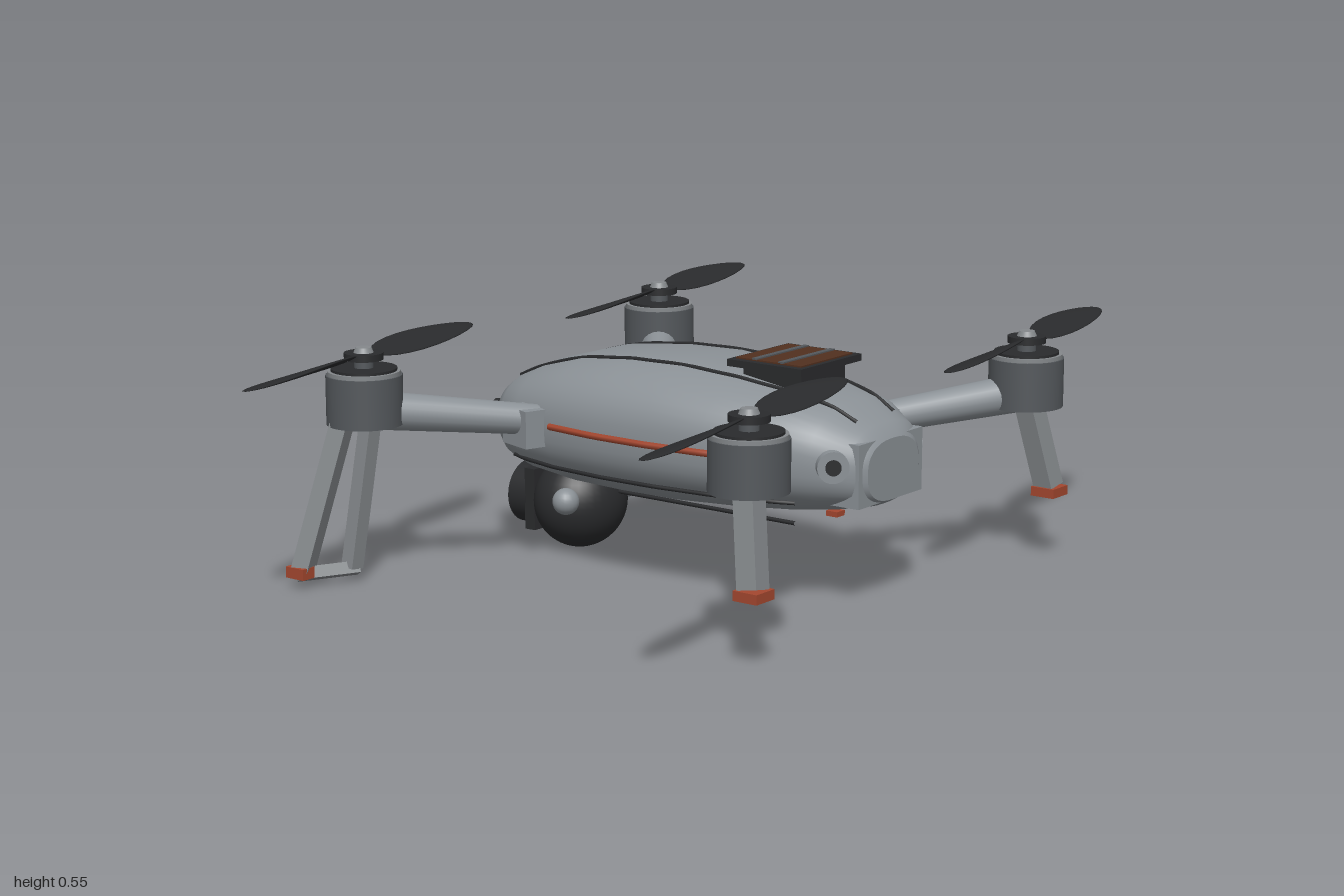
import * as THREE from 'three';

const mat = (name, color) => {
  const m = new THREE.MeshStandardMaterial({ color });
  m.name = name;
  return m;
};

// Hull stations, front to back: z, half width, top y, bottom y
const STATIONS = [
  [0.55, 0.1, 0.39, 0.25], [0.525, 0.14, 0.422, 0.236], [0.45, 0.185, 0.462, 0.22],
  [0.35, 0.22, 0.487, 0.207], [0.2, 0.25, 0.508, 0.195], [0.05, 0.262, 0.52, 0.187],
  [-0.1, 0.262, 0.516, 0.186], [-0.25, 0.245, 0.5, 0.188], [-0.38, 0.208, 0.463, 0.198],
  [-0.46, 0.163, 0.43, 0.213], [-0.51, 0.115, 0.4, 0.232], [-0.535, 0.06, 0.36, 0.27],
];
const POWER = 2.5;

// Interpolated hull section at z
function section(z) {
  let i = 0;
  while (i < STATIONS.length - 2 && STATIONS[i + 1][0] > z) i++;
  const a = STATIONS[i], b = STATIONS[i + 1];
  const t = THREE.MathUtils.clamp((a[0] - z) / (a[0] - b[0]), 0, 1);
  const [w, top, bottom] = [1, 2, 3].map((k) => a[k] + (b[k] - a[k]) * t);
  return { w, cy: (top + bottom) / 2, h: (top - bottom) / 2 };
}
const other = (u) => Math.pow(Math.max(0, 1 - Math.pow(Math.min(1, Math.abs(u)), POWER)), 1 / POWER);
const topY = (x, z) => { const s = section(z); return s.cy + s.h * other(x / s.w); };
const sideX = (y, z) => { const s = section(z); return s.w * other((y - s.cy) / s.h); };

function hullGeometry() {
  const N = 48, pos = [], idx = [];
  const ring = (z) => {
    const s = section(z);
    for (let j = 0; j < N; j++) {
      const a = (j / N) * Math.PI * 2, c = Math.cos(a), d = Math.sin(a);
      pos.push(s.w * Math.sign(c) * Math.pow(Math.abs(c), 2 / POWER),
        s.cy + s.h * Math.sign(d) * Math.pow(Math.abs(d), 2 / POWER), z);
    }
  };
  STATIONS.forEach((s) => ring(s[0]));
  for (let i = 0; i < STATIONS.length - 1; i++) {
    for (let j = 0; j < N; j++) {
      const a = i * N + j, b = i * N + (j + 1) % N;
      idx.push(a, a + N, b, b, a + N, b + N);
    }
  }
  // End caps with their own vertices so the rims stay sharp
  [STATIONS[0], STATIONS[STATIONS.length - 1]].forEach((s, end) => {
    const start = pos.length / 3;
    ring(s[0]);
    pos.push(0, section(s[0]).cy, s[0]);
    for (let j = 0; j < N; j++) {
      const a = start + j, b = start + (j + 1) % N;
      idx.push(start + N, end ? b : a, end ? a : b);
    }
  });
  const g = new THREE.BufferGeometry();
  g.setAttribute('position', new THREE.Float32BufferAttribute(pos, 3));
  g.setIndex(idx);
  g.computeVertexNormals();
  return g;
}

// Leaf-shaped blade along +x, twisted from root to tip
function bladeGeometry() {
  const g = new THREE.SphereGeometry(1, 24, 14);
  const p = g.attributes.position;
  for (let i = 0; i < p.count; i++) {
    const u = p.getX(i), y = p.getY(i) * 0.006, z = p.getZ(i) * 0.043;
    const a = 0.32 - 0.18 * u;
    p.setXYZ(i, 0.247 + 0.214 * u, y * Math.cos(a) - z * Math.sin(a), y * Math.sin(a) + z * Math.cos(a));
  }
  g.computeVertexNormals();
  return g;
}

export function createModel() {
  const shell = mat('shell grey', 0x8b9196), frame = mat('leg grey', 0x85898c);
  const motorGrey = mat('motor grey', 0x54585c), black = mat('black', 0x2a2b2d);
  const red = mat('rust red', 0xa4472f), brown = mat('panel brown', 0x52301f);
  const model = new THREE.Group();

  const add = (name, geo, material, p = [0, 0, 0], parent = model) => {
    const m = new THREE.Mesh(geo, material);
    m.name = name;
    m.position.set(...p);
    parent.add(m);
    return m;
  };
  const box = (name, size, material, p, parent) => add(name, new THREE.BoxGeometry(...size), material, p, parent);
  const disc = (name, r, h, material, p, parent, r2 = r) =>
    add(name, new THREE.CylinderGeometry(r, r2, h, 32), material, p, parent);
  // Orient a y-axis geometry between two points
  const between = (name, make, material, a, b) => {
    const A = new THREE.Vector3(...a), B = new THREE.Vector3(...b), d = B.clone().sub(A);
    const m = add(name, make(d.length()), material, A.clone().add(B).multiplyScalar(0.5).toArray());
    m.quaternion.setFromUnitVectors(new THREE.Vector3(0, 1, 0), d.normalize());
    return m;
  };
  const strut = (name, a, b, w) => between(name, (l) => new THREE.BoxGeometry(w, l, w), frame, a, b);
  // Thin line following the hull from z0 to z1
  const seam = (name, material, r, z0, z1, fn) => {
    const pts = Array.from({ length: 17 }, (_, i) => new THREE.Vector3(...fn(z0 + ((z1 - z0) * i) / 16)));
    add(name, new THREE.TubeGeometry(new THREE.CatmullRomCurve3(pts), 48, r, 6), material);
  };

  // Hull and nose block
  add('hull', hullGeometry(), shell);
  box('noseBlock', [0.25, 0.145, 0.15], shell, [0, 0.32, 0.468]);

  // Roof panel with slats
  box('roofPanel', [0.235, 0.016, 0.205], black, [0, 0.533, 0.278]);
  box('roofPanelInset', [0.2, 0.004, 0.18], brown, [0, 0.5425, 0.278]);
  [0.24, 0.312].forEach((z) => box('roofSlat', [0.2, 0.004, 0.014], motorGrey, [0, 0.5455, z]));
  box('roofPanelBase', [0.17, 0.05, 0.16], black, [0, 0.502, 0.278]);

  const blade = bladeGeometry();
  for (const s of [1, -1]) {
    // Hull seams, side stripes and belly rails
    seam('roofSeam', black, 0.005, 0.5, -0.465, (z) => {
      const x = 0.115 - 0.17 * z * z;
      return [s * x, topY(x, z) + 0.001, z];
    });
    seam('lowerSeam', black, 0.005, 0.4, -0.41, (z) => [s * (sideX(0.25, z) + 0.004), 0.25, z]);
    seam('sideStripe', red, 0.008, 0.27, -0.24, (z) => [s * sideX(0.352, z), 0.352, z]);
    seam('bellyRail', black, 0.005, 0.355, -0.15, (z) => [s * 0.1, 0.184, z]);
    box('bellyLight', [0.03, 0.012, 0.03], red, [s * 0.08, 0.219, 0.45]);

    // Round sensors on the rear and nose
    const sensor = (name, p, yaw, r, rim, core) => {
      const g = new THREE.Group();
      g.name = name;
      g.position.set(...p);
      g.rotation.set(0, yaw, 0);
      model.add(g);
      disc('sensorRim', r, 0.03, rim, [0, 0, 0], g).rotation.x = Math.PI / 2;
      disc('sensorLens', r * 0.5, 0.036, core, [0, 0, 0], g).rotation.x = Math.PI / 2;
    };
    sensor('rearInnerSensor', [s * 0.078, 0.325, -0.53], Math.PI - s * 0.3, 0.028, black, motorGrey);
    sensor('rearOuterSensor', [s * 0.188, 0.34, -0.436], Math.PI - s * 0.75, 0.03, black, motorGrey);
    sensor('noseSensor', [s * 0.158, 0.345, 0.495], s * 0.8, 0.036, shell, black);

    for (const f of [1, -1]) {
      const front = f > 0, mx = s * 0.545, mz = front ? 0.554 : -0.537;
      const rz = front ? 0.327 : -0.305;
      // Arm with its root socket
      between('arm', (l) => new THREE.CylinderGeometry(0.046, 0.035, l, 20), shell,
        [s * 0.2, 0.355, rz - f * 0.03], [mx, 0.405, mz]);
      const socket = box('armSocket', [0.11, 0.088, 0.1], shell, [s * 0.222, 0.345, rz]);
      socket.rotation.y = -s * f * 0.3;

      // Motor and propeller
      const rotor = new THREE.Group();
      rotor.name = front ? 'frontRotor' : 'rearRotor';
      rotor.position.set(mx, 0, mz);
      model.add(rotor);
      disc('motor', 0.088, 0.115, motorGrey, [0, 0.43, 0], rotor);
      disc('motorRim', 0.084, 0.012, frame, [0, 0.491, 0], rotor);
      disc('motorCap', 0.076, 0.014, black, [0, 0.496, 0], rotor);
      disc('shaft', 0.022, 0.03, motorGrey, [0, 0.512, 0], rotor);
      disc('propellerHub', 0.045, 0.016, black, [0, 0.53, 0], rotor);
      disc('hubCap', 0.018, 0.014, frame, [0, 0.543, 0], rotor, 0.024);
      for (const turn of [0, Math.PI]) add('blade', blade, black, [0, 0.531, 0], rotor).rotation.y = 0.165 + turn;

      // Landing legs: single strut in front, open frame behind
      if (front) {
        strut('frontLeg', [s * 0.55, 0.39, 0.557], [s * 0.588, 0.175, 0.597], 0.05);
        box('frontFoot', [0.064, 0.022, 0.062], red, [s * 0.588, 0.165, 0.599]);
      } else {
        strut('rearLegOuter', [s * 0.598, 0.39, -0.555], [s * 0.68, 0.04, -0.616], 0.042);
        strut('rearLegInner', [s * 0.538, 0.39, -0.525], [s * 0.573, 0.035, -0.562], 0.036);
        strut('rearLegBar', [s * 0.56, 0.032, -0.556], [s * 0.69, 0.032, -0.62], 0.028);
        box('rearFoot', [0.038, 0.026, 0.054], red, [s * 0.687, 0.038, -0.617]);
      }
    }
    // Gimbal pivots
    add('gimbalPivot', new THREE.SphereGeometry(0.032, 20, 14), shell, [s * 0.114, 0.14, -0.302]);
  }

  // Underslung camera
  disc('bellySensor', 0.035, 0.014, black, [0, 0.182, -0.15]);
  disc('gimbalMount', 0.085, 0.06, motorGrey, [0, 0.205, -0.35]);
  add('cameraBall', new THREE.SphereGeometry(1, 36, 24), black, [0, 0.117, -0.35]).scale.set(0.12, 0.114, 0.108);
  box('cameraPlate', [0.15, 0.15, 0.03], black, [0, 0.117, -0.447]);
  const lens = (name, r, h, m, z) => { disc(name, r, h, m, [0, 0.117, z]).rotation.x = Math.PI / 2; };
  lens('lensBarrel', 0.076, 0.055, black, -0.487);
  lens('lensRing', 0.06, 0.012, motorGrey, -0.516);
  lens('lensFront', 0.048, 0.014, black, -0.52);
  lens('lensGlass', 0.02, 0.008, motorGrey, -0.526);

  return model;
}
